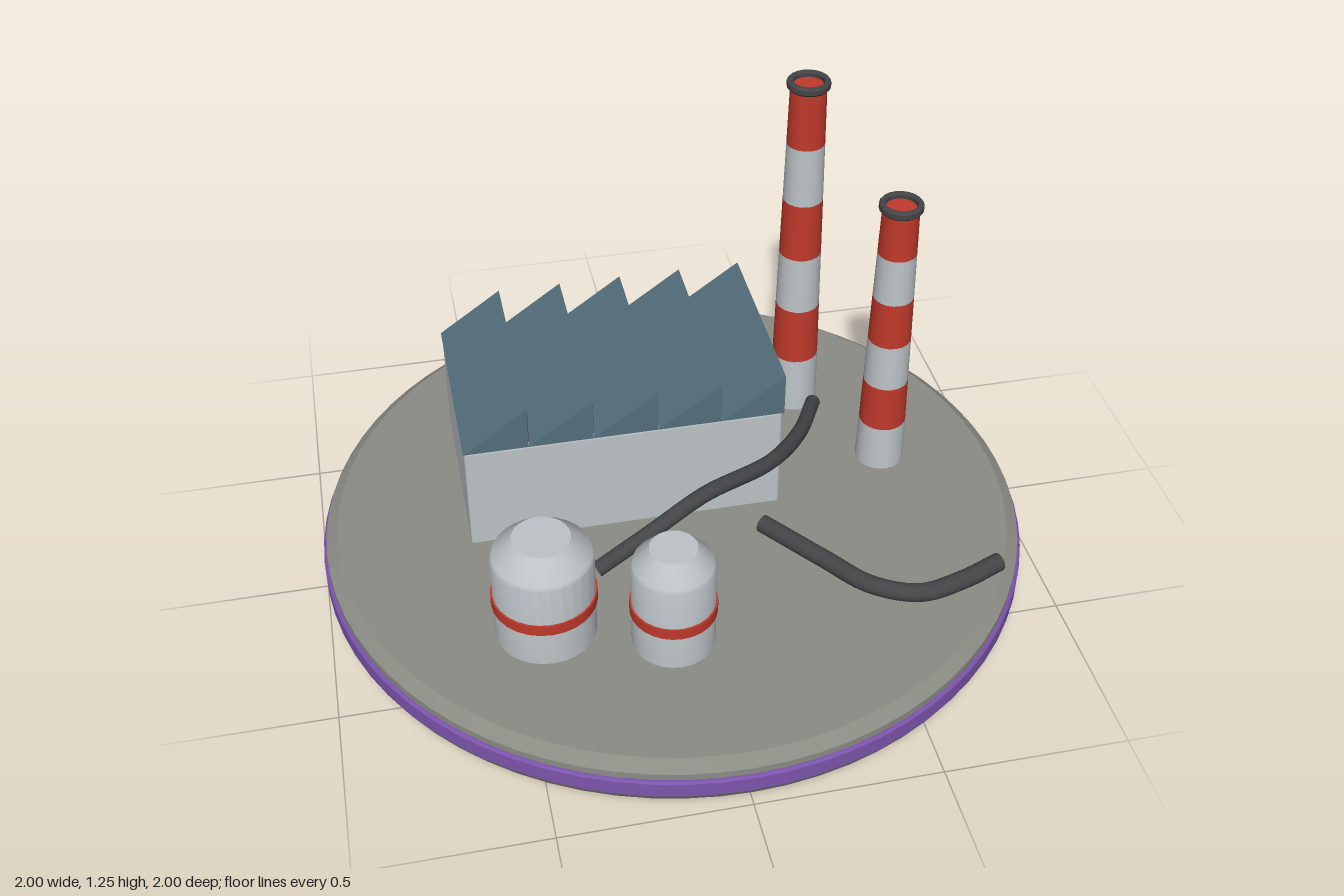
import * as THREE from 'three';
import { toCreasedNormals } from 'three/addons/utils/BufferGeometryUtils.js';
import { RoundedBoxGeometry } from 'three/addons/geometries/RoundedBoxGeometry.js';

const paint = (name, color, extra = {}) => {
  const m = new THREE.MeshStandardMaterial({ color, ...extra });
  m.name = name;
  return m;
};

export function createModel() {
  const mats = {
    ground: paint('groundGrey', 0x8a8c84),
    under: paint('undersideGrey', 0x5a5a56),
    purple: paint('rimPurple', 0x7d55ad),
    concrete: paint('concreteGrey', 0xbdc3c7),
    red: paint('signalRed', 0xc0392b),
    roof: paint('roofSlate', 0x546e7a),
    glass: paint('windowDark', 0x404044),
    pipe: paint('pipeDark', 0x454548, { side: THREE.DoubleSide }),
  };
  const model = new THREE.Group();
  model.name = 'factory';

  const add = (parent, name, geometry, material, x = 0, y = 0, z = 0) => {
    const mesh = new THREE.Mesh(geometry, material);
    mesh.name = name;
    mesh.position.set(x, y, z);
    parent.add(mesh);
    return mesh;
  };
  const group = (name, x = 0, z = 0) => {
    const g = new THREE.Group();
    g.name = name;
    g.position.set(x, 0, z);
    model.add(g);
    return g;
  };
  // Turned solid from [radius, height] pairs, listed from bottom to top
  const turned = (points, sides) => toCreasedNormals(
    new THREE.LatheGeometry(points.map(([r, y]) => new THREE.Vector2(r, y)), sides), 0.45);

  // Round base: dark underside, purple rim, grey ground
  const GROUND = 0.15;
  const base = group('base');
  add(base, 'underside', turned([[0, 0], [0.95, 0], [0.99, 0.036], [0.99, 0.052], [0, 0.052]], 72), mats.under);
  add(base, 'rim', turned([[0.98, 0.05], [0.995, 0.05], [1, 0.056], [1, 0.1], [0.995, 0.106], [0.98, 0.106]], 72), mats.purple);
  add(base, 'ground', turned([[0, 0.104], [0.99, 0.104], [0.99, 0.126], [0.957, GROUND], [0, GROUND]], 72), mats.ground);

  // Factory hall with a sawtooth roof
  const hall = group('hall', -0.143, -0.215);
  const width = 0.895, depth = 0.57, eaves = 0.473, ridge = 0.6, teeth = 5;
  add(hall, 'walls', new RoundedBoxGeometry(width - 0.005, 0.355, depth - 0.004, 2, 0.01), mats.concrete, 0, 0.298, 0);
  const pitch = width / teeth;
  const tooth = new THREE.Shape([
    new THREE.Vector2(0, eaves), new THREE.Vector2(pitch, eaves), new THREE.Vector2(pitch, ridge),
  ]);
  const toothGeometry = new THREE.ExtrudeGeometry(tooth, { depth, bevelEnabled: false });
  const windowGeometry = new THREE.BoxGeometry(0.004, 0.09, depth - 0.03);
  for (let i = 0; i < teeth; i++) {
    const x = -width / 2 + i * pitch;
    add(hall, 'roofTooth', toothGeometry, mats.roof, x, 0, -depth / 2);
    add(hall, 'roofWindow', windowGeometry, mats.glass, x + pitch + 0.001, 0.525, 0);
  }

  // Striped chimneys with a dark ring at the mouth
  const chimney = (name, x, z, top) => {
    const g = group(name, x, z);
    const stripes = 6, bottomR = 0.071, topR = 0.051;
    const shaft = top - 0.015 - GROUND;
    const h = shaft / stripes;
    const radius = (i) => bottomR + (topR - bottomR) * i / stripes;
    for (let i = 0; i < stripes; i++) {
      add(g, i % 2 ? 'redStripe' : 'greyStripe',
        new THREE.CylinderGeometry(radius(i + 1), radius(i), h, 20),
        i % 2 ? mats.red : mats.concrete, 0, GROUND + h * (i + 0.5), 0);
    }
    add(g, 'mouthRing', turned([
      [0.043, top - 0.024], [0.057, top - 0.024], [0.061, top - 0.019], [0.061, top - 0.005],
      [0.057, top], [0.046, top], [0.043, top - 0.004], [0.043, top - 0.024],
    ], 20), mats.pipe);
  };
  chimney('tallChimney', 0.465, -0.393, 1.25);
  chimney('shortChimney', 0.645, -0.072, 1.03);

  // Storage tanks with a truncated dome and a red band
  const tank = (name, x, z, r) => {
    const g = group(name, x, z);
    add(g, 'shell', turned([
      [r, GROUND], [r, 0.412], [r * 0.96, 0.424], [r * 0.6, 0.468], [r * 0.57, 0.473], [0, 0.474],
    ], 28), mats.concrete);
    add(g, 'band', new THREE.CylinderGeometry(r + 0.005, r + 0.005, 0.032, 28), mats.red, 0, 0.275, 0);
  };
  tank('largeTank', -0.432, 0.43, 0.136);
  tank('smallTank', -0.108, 0.537, 0.111);

  // Bent pipes
  const pipe = (name, radius, points) => {
    const curve = new THREE.CatmullRomCurve3(points.map((p) => new THREE.Vector3(...p)));
    add(model, name, new THREE.TubeGeometry(curve, 48, radius, 12), mats.pipe);
  };
  pipe('overheadPipe', 0.022, [
    [-0.29, 0.327, 0.427], [-0.13, 0.395, 0.382], [0.02, 0.437, 0.318], [0.23, 0.4, 0.187], [0.37, 0.338, 0.005], [0.465, 0.29, -0.183],
  ]);
  pipe('groundPipe', 0.026, [
    [0.22, 0.183, 0.19], [0.35, 0.181, 0.36], [0.45, 0.18, 0.485], [0.57, 0.178, 0.54], [0.7, 0.176, 0.515], [0.822, 0.175, 0.467],
  ]);

  return model;
}
